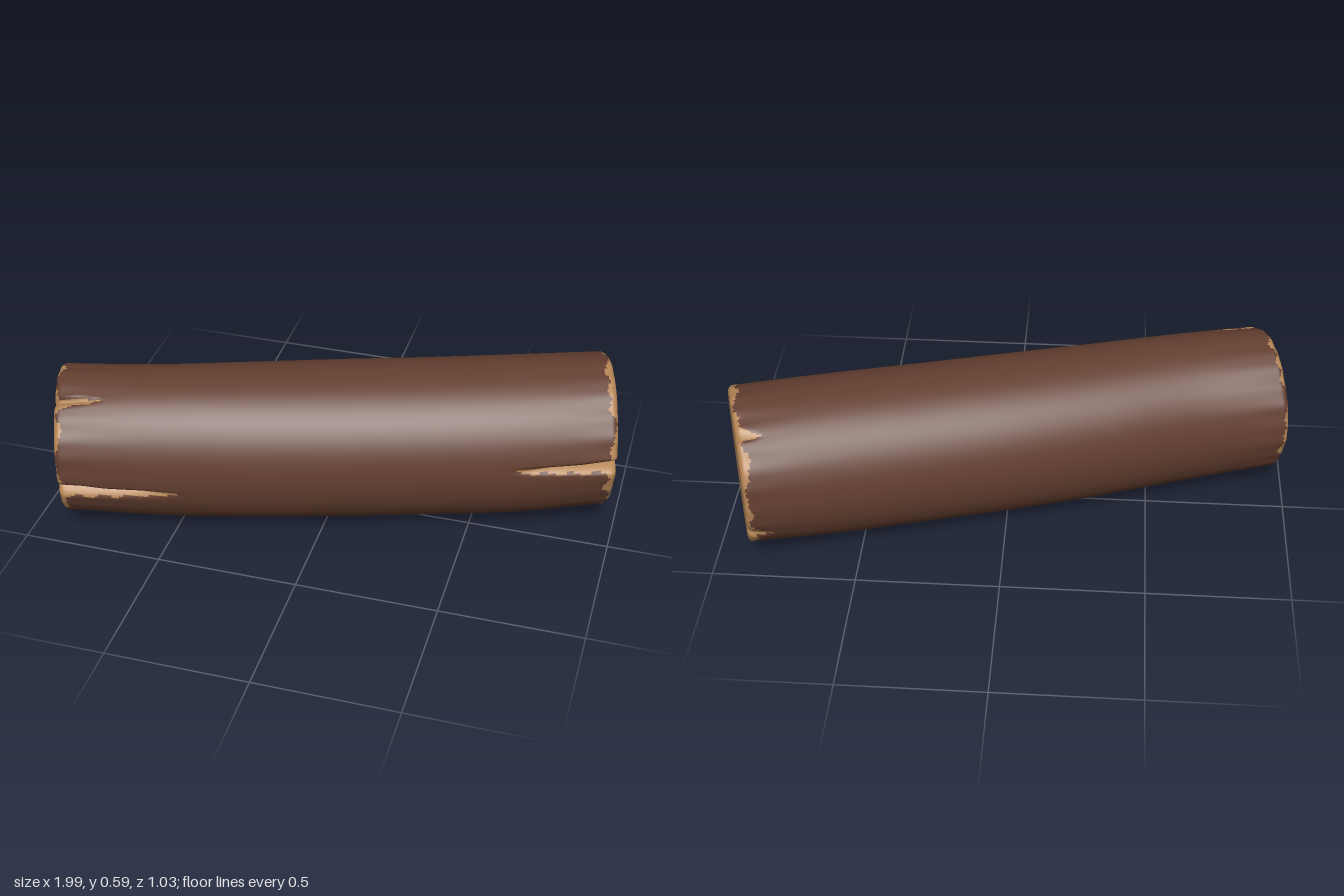
import * as THREE from 'three';

const HALF = 0.965;              // half length of the log along its axis
const COLS = 240, ROWS = 140;    // grid around and along the log
const EDGE = 0.022;              // rounding of the end edges

// Axis lies level, turned so the right end points away from the front
const ANGLE = Math.atan2(0.555, 1.85);
const axis = new THREE.Vector3(Math.cos(ANGLE), 0, -Math.sin(ANGLE));
const side = new THREE.Vector3(Math.sin(ANGLE), 0, Math.cos(ANGLE));

// Outline at seven stations, left end to right end
const top = [0.558, 0.562, 0.565, 0.57, 0.575, 0.583, 0.588];
const bottom = [0.036, 0.01, 0, 0, 0.005, 0.012, 0.042];
const halfWidth = [0.249, 0.249, 0.26, 0.268, 0.27, 0.27, 0.266];
const shift = [0, 0.014, 0.012, 0.01, 0.01, 0.008, 0];
const upright = new THREE.CatmullRomCurve3(top.map((t, i) => new THREE.Vector3(t, bottom[i], i)));
const across = new THREE.CatmullRomCurve3(halfWidth.map((w, i) => new THREE.Vector3(w, shift[i], i)));

// Splits running in from the ends: end, angle, length, angular width, depth
const cracks = [
  { end: -1, at: -0.21, length: 0.43, width: 0.2, depth: 0.07 },
  { end: -1, at: 1.1, length: 0.17, width: 0.17, depth: 0.035 },
  { end: 1, at: 0.09, length: 0.37, width: 0.15, depth: 0.075 },
  { end: 1, at: 2.2, length: 0.09, width: 0.18, depth: 0.018 },
  { end: 1, at: -2.62, length: 0.09, width: 0.2, depth: 0.018 },
];

const wrap = a => Math.atan2(Math.sin(a), Math.cos(a));
const ripple = (a, k) => Math.sin(5 * a + k) + 0.7 * Math.sin(11 * a + 2.3 * k) + 0.5 * Math.sin(23 * a + 4.1 * k);
const jag = (a, k) => Math.sin(a * 47 + k) * Math.sin(a * 29 + 2 * k);

// How far the cracks cut into the radius
function cut(s, a) {
  let c = 0;
  for (const k of cracks) {
    const f = 1 - (HALF - k.end * s) / k.length;
    if (f <= 0) continue;
    const d = wrap(a - k.at), w = k.width * (0.35 + 0.65 * f);
    const g = d < 0 ? Math.max(0, 1 + d / w) ** 1.6 : Math.max(0, 1 - d / (0.35 * w));
    c = Math.max(c, k.depth * f * g);
  }
  return c;
}

// Bare wood shows in the cracks and along a ragged rim at each end
function isBare(s, a) {
  const end = Math.sign(s), d = HALF - Math.abs(s);
  const rim = (end > 0 ? 0.022 : 0.012) + 0.009 * ripple(a, end * 2) + 0.006 * jag(a, end);
  if (d < rim) return true;
  return cracks.some(k => {
    const f = 1 - d / k.length;
    if (k.end !== end || f <= 0) return false;
    const off = wrap(a - k.at);
    const reach = k.width * f ** 0.7 * (0.85 + 0.15 * Math.sin(d * 70));
    return off > -reach && off < 0.25 * k.width * f;
  });
}

function pointAt(s, a, scale) {
  const t = (s + HALF) / (2 * HALF);
  const v = upright.getPoint(t), h = across.getPoint(t);
  const d = HALF - Math.abs(s), e = Math.max(0, EDGE - d);
  const inset = EDGE - Math.sqrt(EDGE * EDGE - e * e);
  const wobble = 0.0025 * ripple(a, Math.sign(s)) * Math.exp(-d * 8);
  const trim = (cut(s, a) + inset - wobble);
  const y = (v.x + v.y) / 2 + scale * Math.sin(a) * ((v.x - v.y) / 2 - trim);
  const z = h.y + scale * Math.cos(a) * (h.x - trim);
  return axis.clone().multiplyScalar(s).addScaledVector(side, z).setY(y);
}

export function createModel() {
  const barkMaterial = new THREE.MeshStandardMaterial({ color: 0x643f30 });
  barkMaterial.name = 'bark brown';
  const woodMaterial = new THREE.MeshStandardMaterial({ color: 0xb58656 });
  woodMaterial.name = 'cut wood tan';

  // Rows: left end face, rounded body packed tighter near the ends, right end face
  const face = [0, 0.4, 0.8, 0.94, 0.985];
  const rows = [
    ...face.map(k => [-HALF, k]),
    ...Array.from({ length: ROWS + 1 }, (_, i) => [-HALF * Math.cos(Math.PI * i / ROWS), 1]),
    ...face.slice().reverse().map(k => [HALF, k]),
  ];

  const positions = [], barkIndex = [], woodIndex = [];
  rows.forEach(([s, scale], i) => {
    for (let j = 0; j < COLS; j++) {
      positions.push(...pointAt(s, 2 * Math.PI * j / COLS, scale).toArray());
      if (i === rows.length - 1) continue;
      const next = rows[i + 1], n = (j + 1) % COLS;
      const a = i * COLS + j, b = i * COLS + n, c = a + COLS, d = b + COLS;
      const onFace = scale < 1 || next[1] < 1;
      const bare = onFace || isBare((s + next[0]) / 2, 2 * Math.PI * (j + 0.5) / COLS);
      (bare ? woodIndex : barkIndex).push(a, c, b, b, c, d);
    }
  });

  // Shared smooth normals over the whole surface
  const whole = new THREE.BufferGeometry();
  whole.setAttribute('position', new THREE.Float32BufferAttribute(positions, 3));
  whole.setIndex([...barkIndex, ...woodIndex]);
  whole.computeVertexNormals();

  const group = new THREE.Group();
  group.name = 'log';
  const addPart = (name, index, material) => {
    const g = new THREE.BufferGeometry();
    g.setAttribute('position', whole.getAttribute('position'));
    g.setAttribute('normal', whole.getAttribute('normal'));
    g.setIndex(index);
    const mesh = new THREE.Mesh(g, material);
    mesh.name = name;
    group.add(mesh);
  };
  addPart('bark', barkIndex, barkMaterial);
  addPart('bareWood', woodIndex, woodMaterial);
  return group;
}
